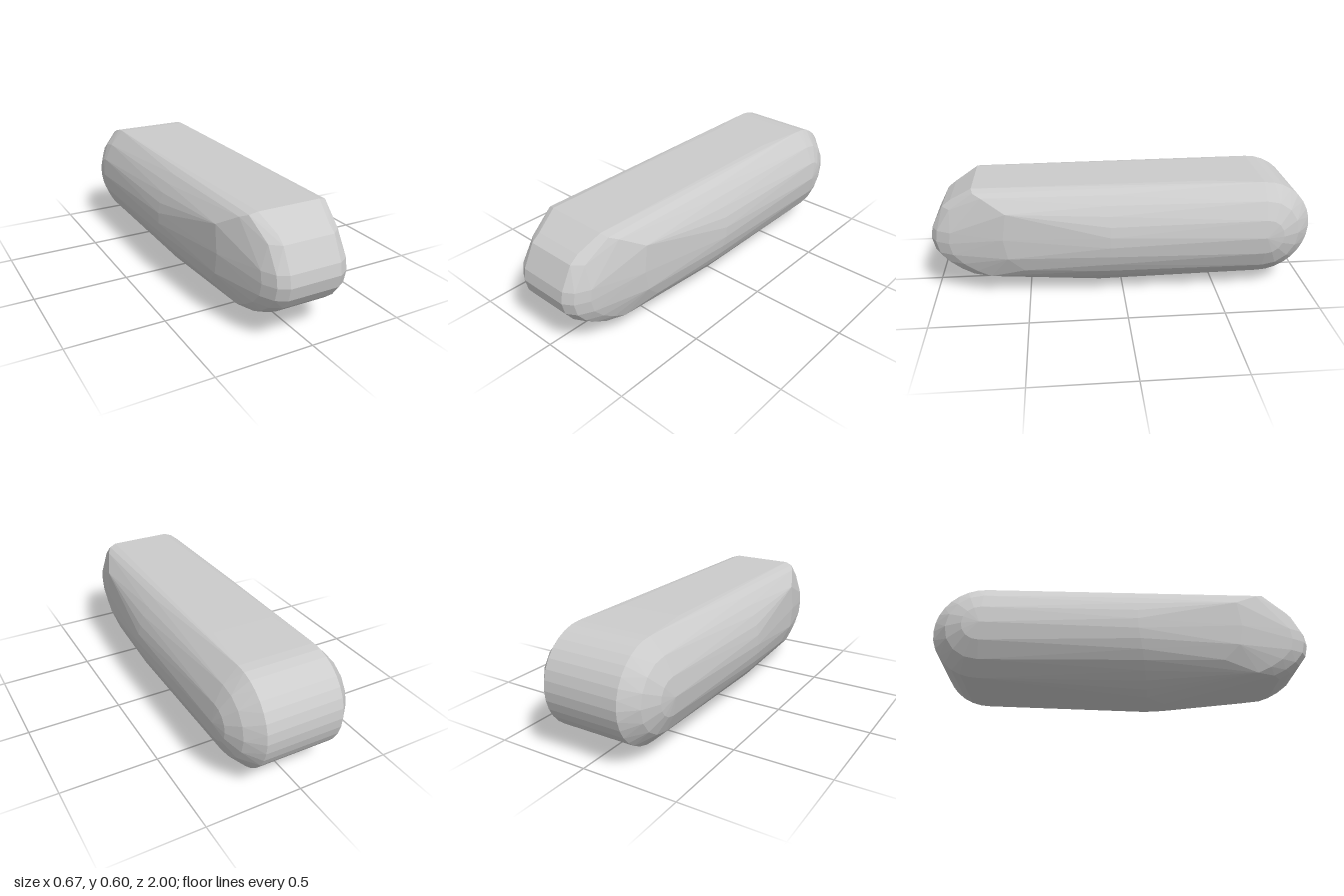
import * as THREE from 'three';
import { ConvexGeometry } from 'three/addons/geometries/ConvexGeometry.js';

const R = 0.333; // body radius, also the height of its axis

export function createModel() {
  const points = [];
  const pair = (x, y, z) => {
    points.push(new THREE.Vector3(x, y, z), new THREE.Vector3(-x, y, z));
  };

  // Tail: a crosswise drum with domed ends
  for (let i = 0; i < 32; i++) {
    const a = (i / 32) * Math.PI * 2;
    pair(0.203, 0.336 + 0.26 * Math.sin(a), -0.74 + 0.26 * Math.cos(a));
  }
  for (const r of [0.185, 0.095]) {
    for (let i = 0; i < 16; i++) {
      const a = (i / 16) * Math.PI * 2;
      pair(Math.sqrt(R * R - r * r), R + r * Math.sin(a), -0.74 + r * Math.cos(a));
    }
  }
  pair(R, R, -0.74);

  // Middle: a round section, cut flat on top, with the keel further forward
  for (let i = 0; i <= 14; i++) {
    const a = -Math.PI / 2 + (i / 14) * 2.35;
    const x = R * Math.cos(a), y = R + R * Math.sin(a);
    const low = Math.max(0, -Math.sin(a));
    pair(x, y, 0.07 + 0.06 * low);
    if (i < 2) pair(x, y, 0.28 - 0.06 * i);
  }

  // Flat top
  for (const z of [-0.45, 0.07, 0.77]) pair(0.165, 0.6, z);
  pair(0.205, 0.588, 0.76);
  pair(0.23, 0.57, 0.72);

  // Shoulders tapering towards the nose
  for (const [x, y, z] of [
    [0.283, 0.5, 0.6], [0.287, 0.36, 0.62], [0.285, 0.25, 0.6], [0.265, 0.17, 0.52],
  ]) pair(x, y, z);

  // Nose: rounded rows as height, depth of the centre and inset of the corners
  const rows = [
    [0.53, 0.885, 0.05], [0.495, 0.93, 0.04], [0.38, 0.99, 0], [0.32, 1, 0],
    [0.255, 0.985, 0], [0.2, 0.945, 0.01], [0.155, 0.89, 0.02], [0.12, 0.83, 0.03],
  ];
  for (const [y, z, inset] of rows) {
    pair(0.135, y, z);
    pair(0.185, y, z - 0.03 - inset * 0.3);
    pair(0.22, y, z - 0.1 - inset);
  }

  const hull = new THREE.Mesh(
    new ConvexGeometry(points),
    new THREE.MeshStandardMaterial({ color: 0xcccccc, flatShading: true })
  );
  hull.name = 'body';
  const group = new THREE.Group();
  group.name = 'roundedBlock';
  group.add(hull);
  return group;
}
